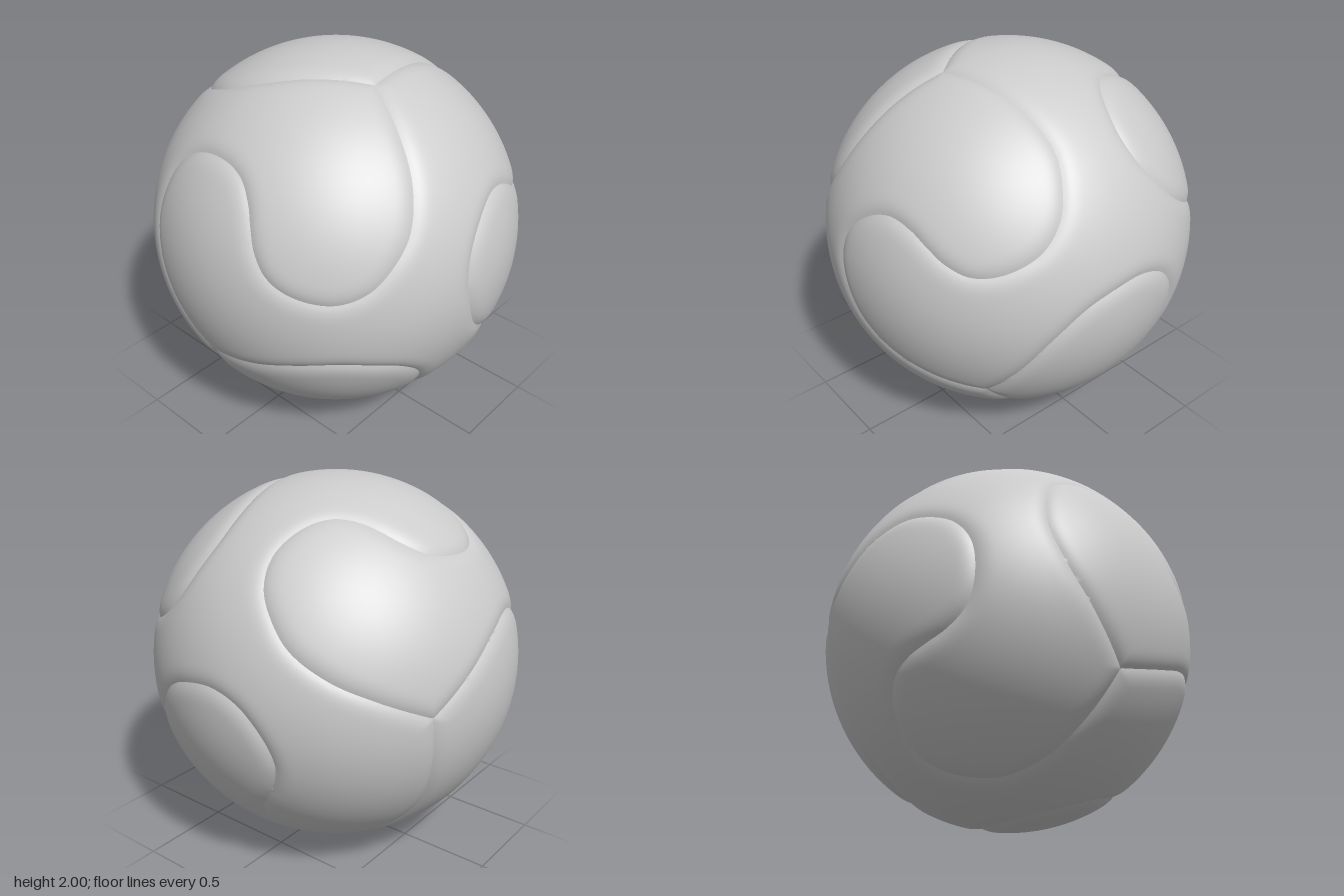
import * as THREE from 'three';
import { mergeVertices } from 'three/addons/utils/BufferGeometryUtils.js';

const V = (x, y, z) => new THREE.Vector3(x, y, z);
const onSphere = (x, y) => V(x, y, Math.sqrt(1 - x * x - y * y));
const DEPTH = 0.016, WIDTH = 0.11, DETAIL = 80, SAMPLES = 160;

// Half of one S-shaped seam, from a three-panel corner to the seam's midpoint
const HALF = [[-0.26, -0.2], [-0.393, 0], [-0.457, 0.21], [-0.436, 0.372], [-0.366, 0.52],
  [-0.233, 0.623], [-0.035, 0.655], [0.104, 0.618], [0.195, 0.532]];

// Frame at corner a, with b pointing towards another corner
function frame(a, to) {
  const b = to.clone().addScaledVector(a, -to.dot(a)).normalize();
  return [a, b, a.clone().cross(b)];
}

// Four corners of a regular tetrahedron where three panels meet
function makeCorners() {
  const a = onSphere(-0.055, -0.43);
  const [, b, c] = frame(a, V(0.342, 0.932, 0.125));
  const corners = [a];
  for (let k = 0; k < 3; k++) {
    const t = (k * 2 * Math.PI) / 3, s = Math.sqrt(8) / 3;
    corners.push(a.clone().multiplyScalar(-1 / 3)
      .addScaledVector(b, s * Math.cos(t)).addScaledVector(c, s * Math.sin(t)));
  }
  return corners;
}

// Six seams, sampled as points with tangents and the panels on either side
function makeSeams(corners) {
  const f0 = frame(corners[0], corners[1]);
  const local = HALF.map(([x, y]) => {
    const p = onSphere(x, y);
    return f0.map((axis) => p.dot(axis));
  });
  const half = (i, j) => {
    const f = frame(corners[i], corners[j]);
    return [corners[i], ...local.map((q) => V(0, 0, 0)
      .addScaledVector(f[0], q[0]).addScaledVector(f[1], q[1]).addScaledVector(f[2], q[2]))];
  };
  const samples = [];
  for (let i = 0; i < 4; i++) for (let j = i + 1; j < 4; j++) {
    const mid = corners[i].clone().add(corners[j]).normalize();
    const curve = new THREE.CatmullRomCurve3([...half(i, j), mid, ...half(j, i).reverse()]);
    let [left, right] = [0, 1, 2, 3].filter((k) => k !== i && k !== j);
    if (corners[i].clone().cross(corners[j]).dot(corners[left]) > 0) [left, right] = [right, left];
    const at = (s) => curve.getPointAt(s / SAMPLES).normalize();
    for (let s = 0; s < SAMPLES; s++) {
      const p = at(s + 0.5), d = at(s + 1).sub(at(s)), reach = d.length() / 2;
      const t = d.normalize();
      samples.push({ p, t, reach, side: p.clone().cross(t), left, right });
    }
  }
  return samples;
}

function nearest(samples, v) {
  let best = null, dot = -2;
  for (const s of samples) {
    const d = s.p.x * v.x + s.p.y * v.y + s.p.z * v.z;
    if (d > dot) { dot = d; best = s; }
  }
  return best;
}

export function createModel() {
  const group = new THREE.Group();
  group.name = 'ball';
  const samples = makeSeams(makeCorners());

  let sphere = new THREE.IcosahedronGeometry(1, DETAIL);
  sphere.deleteAttribute('uv');
  sphere.deleteAttribute('normal');
  sphere = mergeVertices(sphere, 1e-5);
  const pos = sphere.attributes.position, index = sphere.index;

  // Pull vertices beside a seam onto it, then sink the panel edges into a soft groove
  const unit = [], radius = [];
  for (let i = 0; i < pos.count; i++) {
    const v = V(0, 0, 0).fromBufferAttribute(pos, i).normalize();
    const s = nearest(samples, v);
    const along = THREE.MathUtils.clamp(v.clone().sub(s.p).dot(s.t), -s.reach, s.reach);
    const foot = s.p.clone().addScaledVector(s.t, along).normalize();
    let dist = v.distanceTo(foot);
    if (dist < 0.0075) { v.copy(foot); dist = 0; }
    unit.push(v);
    radius.push(1 - DEPTH * Math.max(0, 1 - dist / WIDTH) ** 3);
  }

  // Share the triangles out among the four panels
  const panels = [0, 1, 2, 3].map(() => ({ map: new Map(), points: [], faces: [] }));
  for (let f = 0; f < index.count; f += 3) {
    const ids = [0, 1, 2].map((k) => index.getX(f + k));
    const c = V(0, 0, 0);
    ids.forEach((id) => c.add(unit[id]));
    c.normalize();
    const s = nearest(samples, c);
    const panel = panels[c.sub(s.p).dot(s.side) > 0 ? s.left : s.right];
    for (const id of ids) {
      if (!panel.map.has(id)) {
        panel.map.set(id, panel.map.size);
        const u = unit[id], r = radius[id];
        panel.points.push(u.x * r, u.y * r + 1, u.z * r);
      }
      panel.faces.push(panel.map.get(id));
    }
  }

  // One smooth mesh per panel, so the seams stay sharp
  const material = new THREE.MeshStandardMaterial({ color: 0xcccccc });
  panels.forEach((panel, k) => {
    const geometry = new THREE.BufferGeometry();
    geometry.setAttribute('position', new THREE.Float32BufferAttribute(panel.points, 3));
    geometry.setIndex(panel.faces);
    geometry.computeVertexNormals();
    const mesh = new THREE.Mesh(geometry, material);
    mesh.name = `panel${k + 1}`;
    group.add(mesh);
  });
  return group;
}
